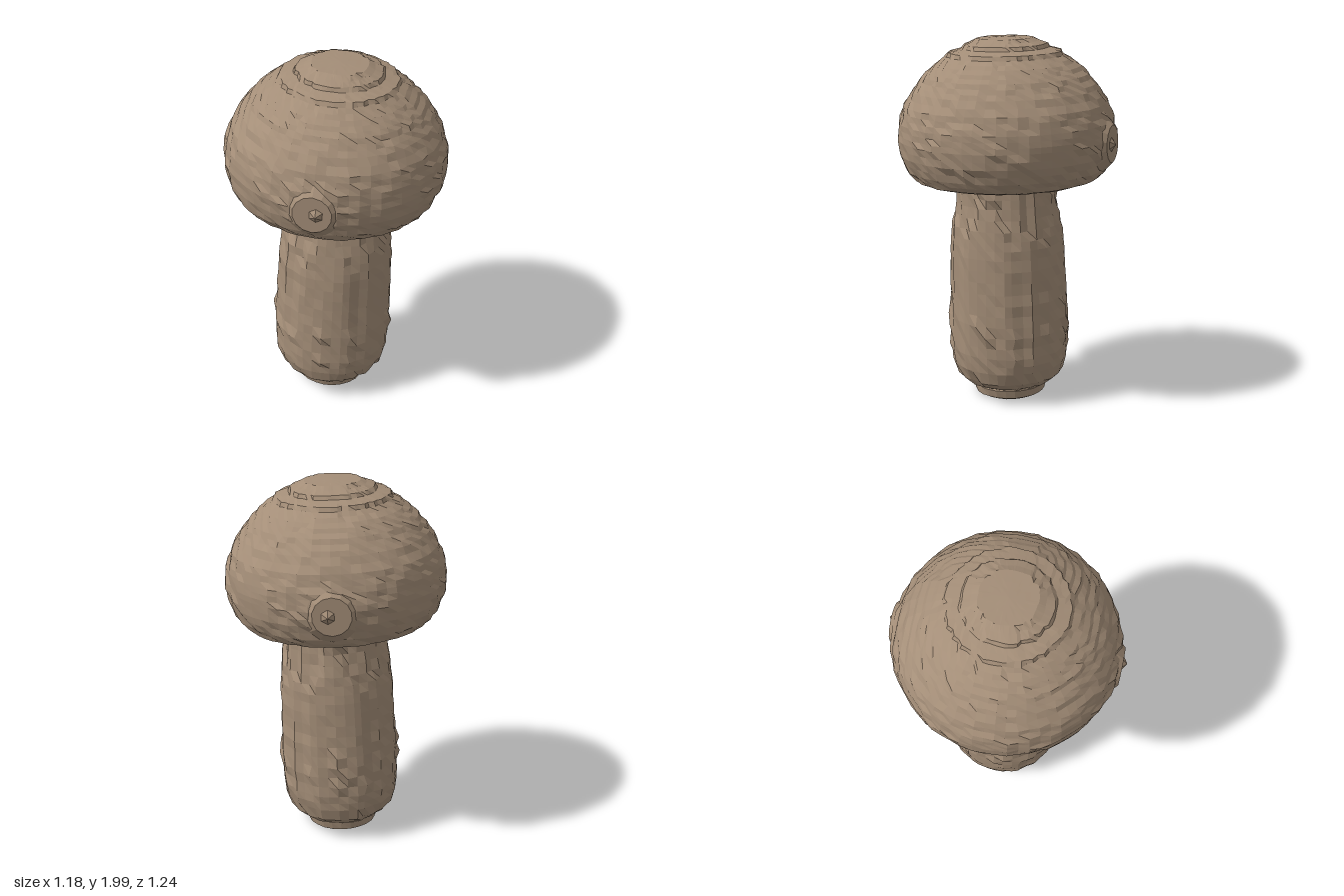
import * as THREE from 'three';

const clay = new THREE.MeshStandardMaterial({ color: 0xa48e78, flatShading: true });
clay.name = 'brown clay';

// Split a coarse profile into short, even steps
function refine(profile, step) {
  const out = [];
  for (let i = 0; i < profile.length - 1; i++) {
    const a = new THREE.Vector2(...profile[i]);
    const b = new THREE.Vector2(...profile[i + 1]);
    const n = Math.max(1, Math.round(a.distanceTo(b) / step));
    for (let k = 0; k < n; k++) out.push(a.clone().lerp(b, k / n));
  }
  out.push(new THREE.Vector2(...profile[profile.length - 1]));
  return out;
}

// Pull a coordinate towards terraces
const terrace = (v, size, pull) => v + pull * (Math.round(v / size) * size - v);

// Small repeatable wobble
const wobble = (x, y, z) =>
  Math.sin(x * 31 + y * 17) * Math.sin(z * 37 - y * 23 + 1) + 0.6 * Math.sin(x * 67 - z * 59 + y * 71);

// Lathe with a hand-carved, stepped surface
function carved(name, profile, { step = 0.035, sides = 64, size = 0.045, pull = 0.3, rough = 0.004 }) {
  const geo = new THREE.LatheGeometry(refine(profile, step), sides);
  const p = geo.attributes.position;
  for (let i = 0; i < p.count; i++) {
    const x = p.getX(i), y = p.getY(i), z = p.getZ(i);
    const r = Math.hypot(x, z);
    const grow = r > 0.02 ? 1 + (rough * wobble(x, y, z)) / Math.max(r, 0.15) : 1;
    p.setXYZ(i, terrace(x * grow, size, pull), y, terrace(z * grow, size, pull));
  }
  geo.computeVertexNormals();
  const mesh = new THREE.Mesh(geo, clay);
  mesh.name = name;
  return mesh;
}

export function createModel() {
  const model = new THREE.Group();
  model.name = 'mushroom';

  // Everything leans slightly to the side and is turned a little
  const leaning = new THREE.Group();
  leaning.name = 'leaningMushroom';
  leaning.rotation.set(0, 0.13, -0.04, 'ZYX');
  leaning.position.y = 0.9;
  model.add(leaning);
  const body = new THREE.Group();
  body.name = 'mushroomBody';
  body.position.y = -0.9;
  leaning.add(body);

  // Narrow foot disc
  body.add(carved('foot', [
    [0, 0.012], [0.17, 0.012], [0.195, 0.025], [0.205, 0.07], [0.19, 0.1],
  ], { sides: 24, step: 0.06, pull: 0.1, rough: 0.002 }));

  // Stem, widest near the base
  body.add(carved('stem', [
    [0, 0.07], [0.19, 0.07], [0.25, 0.1], [0.29, 0.14], [0.315, 0.21], [0.328, 0.3], [0.33, 0.48],
    [0.32, 0.66], [0.312, 0.85], [0.295, 1.0], [0.275, 1.12], [0.272, 1.27],
  ], { sides: 40, step: 0.055, size: 0.06, pull: 0.25, rough: 0.005 }));

  // Domed cap with flat underside and a small plateau on top
  const cap = carved('cap', [
    [0.2, 1.245], [0.46, 1.24], [0.51, 1.255], [0.55, 1.31], [0.58, 1.39], [0.59, 1.47], [0.578, 1.56],
    [0.545, 1.65], [0.5, 1.725], [0.44, 1.8], [0.375, 1.86], [0.315, 1.9], [0.3, 1.922], [0.235, 1.94],
    [0.22, 1.96], [0.18, 1.975], [0.15, 1.992], [0, 1.997],
  ], {});
  cap.position.x = -0.02;
  body.add(cap);

  // Raised round patches and pointed nubs on the front and back of the cap
  for (const side of [1, -1]) {
    const patch = new THREE.Mesh(new THREE.CylinderGeometry(0.1, 0.15, 0.05, 14), clay);
    patch.name = side > 0 ? 'frontPatch' : 'backPatch';
    patch.rotation.x = side * Math.PI / 2;
    patch.position.set(-0.02, 1.45, side * 0.573);
    const nub = new THREE.Mesh(new THREE.ConeGeometry(0.045, 0.03, 6), clay);
    nub.name = side > 0 ? 'frontNub' : 'backNub';
    nub.rotation.x = side * Math.PI / 2;
    nub.position.set(0, 1.45, side * 0.608);
    body.add(patch, nub);
  }
  return model;
}
